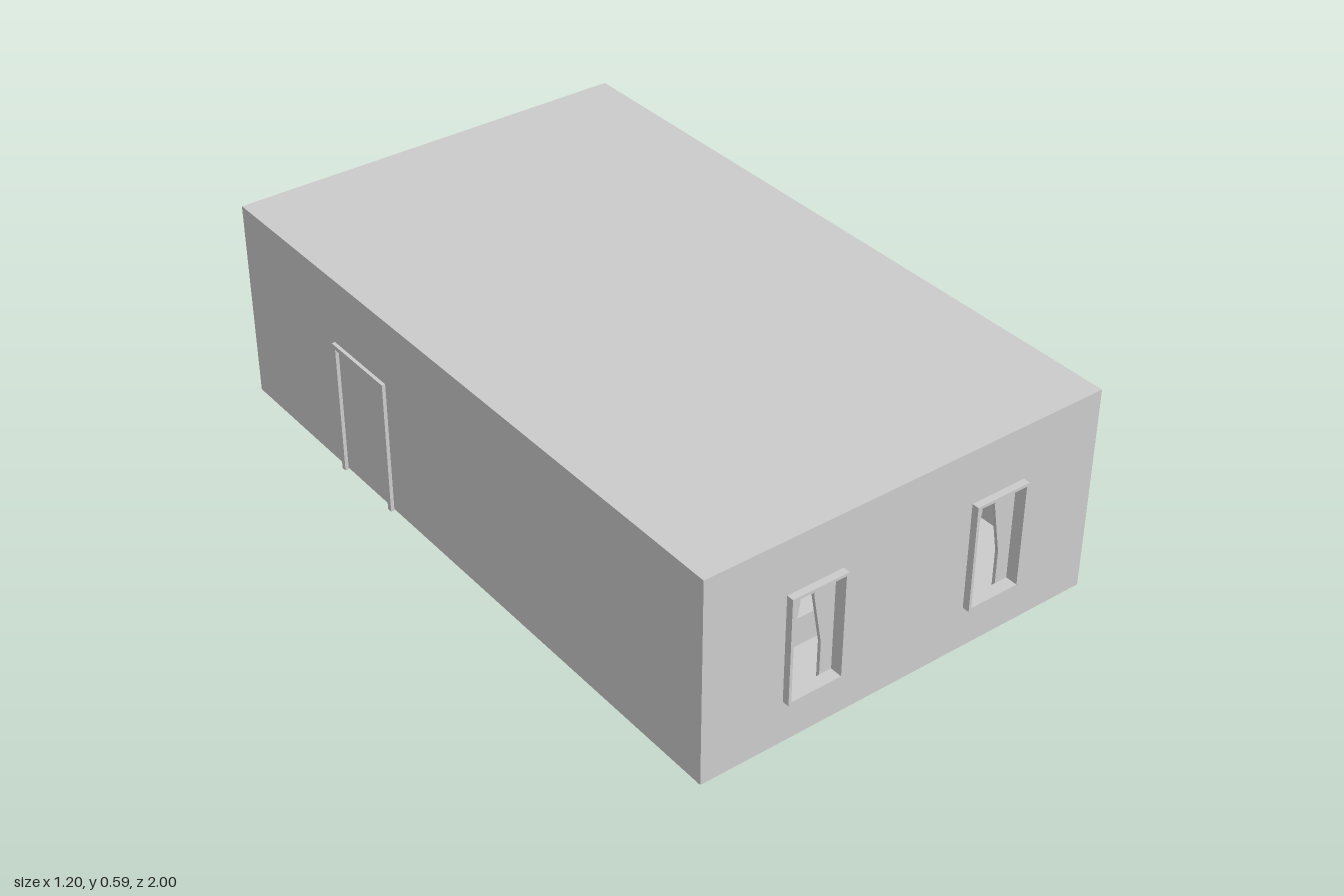
import * as THREE from 'three';

const material = new THREE.MeshStandardMaterial({ color: 0xcccccc, flatShading: true });

// Bounds of the room: outer faces, and wall thickness
const X0 = -0.59, X1 = 0.6, Y0 = 0.005, Y1 = 0.59, Z0 = -1, Z1 = 0.98, T = 0.01;

function add(parent, name, geometry) {
  const mesh = new THREE.Mesh(geometry, material);
  mesh.name = name;
  parent.add(mesh);
  return mesh;
}

// Box given by its two opposite corners
function block(parent, name, x0, x1, y0, y1, z0, z1) {
  const mesh = add(parent, name, new THREE.BoxGeometry(x1 - x0, y1 - y0, z1 - z0));
  mesh.position.set((x0 + x1) / 2, (y0 + y1) / 2, (z0 + z1) / 2);
  return mesh;
}

function rectangle(x0, x1, y0, y1, Type = THREE.Shape) {
  return new Type([[x0, y0], [x1, y0], [x1, y1], [x0, y1]].map(([x, y]) => new THREE.Vector2(x, y)));
}

// Flat shape with depth, running forward from z
function slab(parent, name, shape, z, depth) {
  const mesh = add(parent, name, new THREE.ExtrudeGeometry(shape, { depth, bevelEnabled: false }));
  mesh.position.z = z;
  return mesh;
}

// Frame and a pair of tied curtains, centred on x = cx
function addWindow(parent, cx) {
  const group = new THREE.Group();
  group.name = 'window';
  group.position.x = cx;
  parent.add(group);

  const frame = rectangle(-0.082, 0.082, 0.127, 0.435);
  frame.holes.push(rectangle(-0.074, 0.074, 0.135, 0.427, THREE.Path));
  slab(group, 'windowFrame', frame, 0.965, 0.035);

  for (const side of [-1, 1]) {
    const profile = [
      [0.1, 0.1], [0.047, 0.1], [0.047, 0.22], [0.02, 0.37], [0.034, 0.435], [0.034, 0.45], [0.1, 0.45],
    ];
    const points = profile.map(([x, y]) => new THREE.Vector2(side * x, y));
    slab(group, 'curtain', new THREE.Shape(points), 0.945, 0.01);
  }
  block(group, 'curtainRail', -0.12, 0.12, 0.445, 0.455, 0.943, 0.957);
}

export function createModel() {
  const model = new THREE.Group();
  model.name = 'room';
  const windows = [-0.273, 0.282];

  // Hollow shell
  block(model, 'floor', X0, X1, Y0, Y0 + T, Z0, Z1);
  block(model, 'ceiling', X0, X1, Y1 - T, Y1, Z0, Z1);
  block(model, 'rightWall', X0, X0 + T, Y0 + T, Y1 - T, Z0, Z1);
  block(model, 'leftWall', X1 - T, X1, Y0 + T, Y1 - T, Z0, Z1);
  block(model, 'backWall', X0 + T, X1 - T, Y0 + T, Y1 - T, Z0, Z0 + T);
  const front = rectangle(X0 + T, X1 - T, Y0 + T, Y1 - T);
  for (const cx of windows) {
    front.holes.push(rectangle(cx - 0.078, cx + 0.078, 0.131, 0.431, THREE.Path));
  }
  slab(model, 'frontWall', front, Z1 - T, T);

  for (const cx of windows) addWindow(model, cx);

  // Door frame through the right wall
  const door = new THREE.Group();
  door.name = 'doorFrame';
  model.add(door);
  block(door, 'doorPost', -0.6, -0.578, 0, 0.395, -0.55, -0.535);
  block(door, 'doorPost', -0.6, -0.578, 0, 0.395, -0.322, -0.307);
  block(door, 'doorLintel', -0.6, -0.578, 0.382, 0.395, -0.535, -0.322);

  // Furnishings seen through the windows
  block(model, 'lowTable', -0.14, 0.1, Y0 + T, 0.1, 0.2, 0.75);
  block(model, 'cabinet', 0.265, 0.5, Y0 + T, 0.205, -0.985, -0.7);
  block(model, 'backPicture', 0.2, 0.285, 0.297, 0.385, Z0 + 0.002, Z0 + 0.02);
  block(model, 'backPicture', -0.37, -0.27, 0.265, 0.34, Z0 + 0.002, Z0 + 0.02);

  return model;
}
